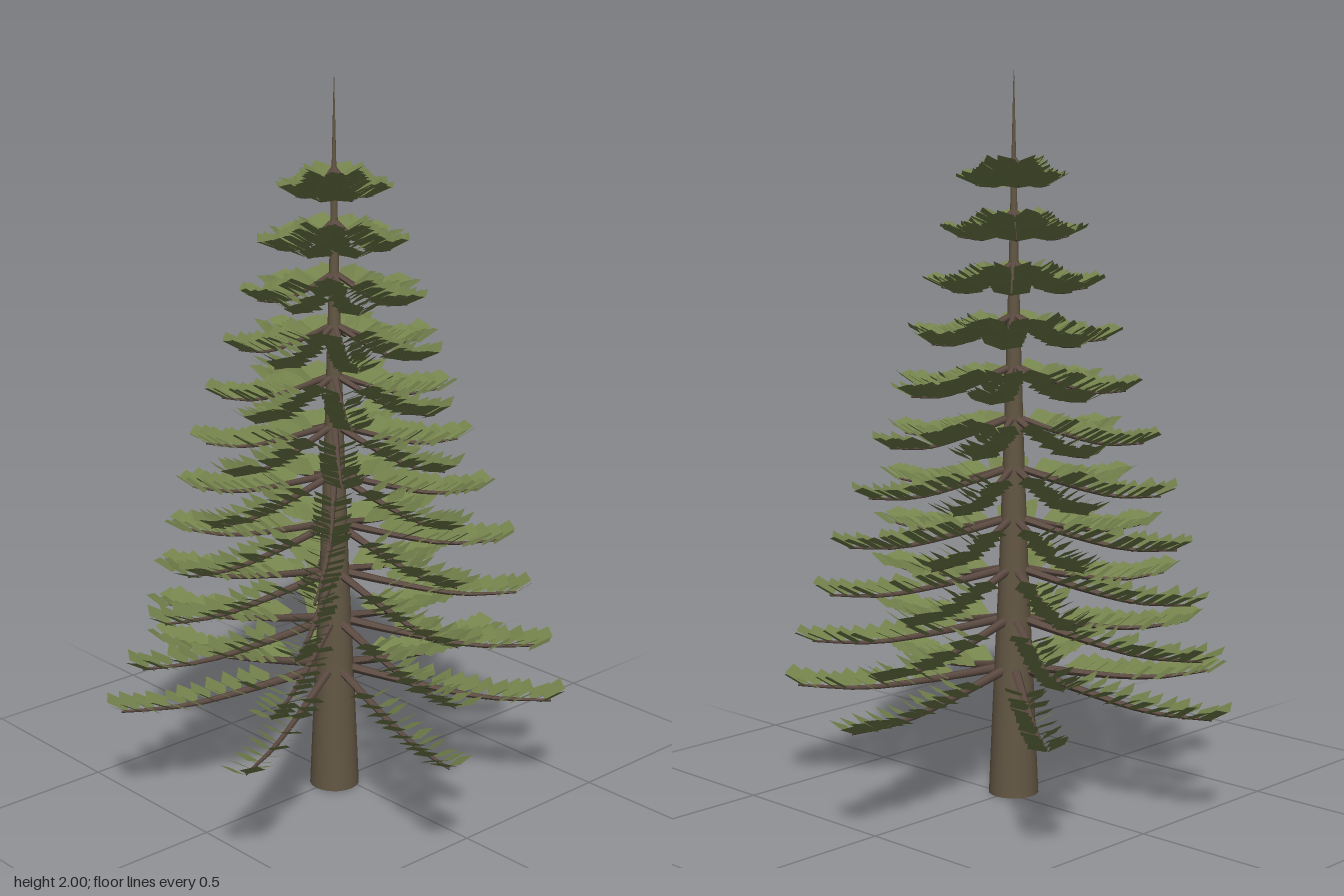
import * as THREE from 'three';
import { mergeGeometries } from 'three/addons/utils/BufferGeometryUtils.js';

const TIERS = 11, ARMS = 7, PAIRS = 11;

// Small seeded generator for natural variation
let seed = 7;
const rand = (a, b) => {
  seed = (seed * 16807) % 2147483647;
  return a + (b - a) * (seed / 2147483647);
};

// Drooping branch centre line along +x, lifting again at the tip
function branchCurve(length) {
  return new THREE.CatmullRomCurve3([
    [0, 0], [0.35, -0.044], [0.7, -0.076], [1, -0.072],
  ].map(([t, y]) => new THREE.Vector3(t * length, y, 0)));
}

// Tapered tube: shrink each ring towards the centre line
function branchGeometry(curve, radius) {
  const segments = 8, sides = 6;
  const geo = new THREE.TubeGeometry(curve, segments, radius, sides, false);
  const pos = geo.attributes.position, p = new THREE.Vector3();
  for (let i = 0; i < pos.count; i++) {
    const t = Math.floor(i / (sides + 1)) / segments;
    const c = curve.getPointAt(t);
    p.fromBufferAttribute(pos, i).sub(c).multiplyScalar(1 - 0.75 * t).add(c);
    pos.setXYZ(i, p.x, p.y, p.z);
  }
  geo.computeVertexNormals();
  return geo;
}

// Two rows of flat leaves in a shallow V, tilted up towards the tip
function leavesGeometry(curve) {
  const leaves = [];
  for (let i = 0; i < PAIRS; i++) {
    for (const side of [-1, 1]) {
      const t = 0.27 + 0.73 * (i + rand(0.6, 1)) / PAIRS;
      const at = curve.getPointAt(t);
      const leaf = new THREE.PlaneGeometry(0.064, 0.049);
      leaf.rotateX(-Math.PI / 2);
      leaf.translate(0.026, 0, side * 0.0265);
      leaf.rotateX(-side * rand(0.15, 0.4));
      leaf.rotateZ(rand(0.38, 0.6));
      leaf.rotateY(-side * rand(0, 0.2));
      leaf.translate(at.x, at.y, 0);
      leaves.push(leaf);
    }
  }
  return mergeGeometries(leaves);
}

export function createModel() {
  const bark = new THREE.MeshStandardMaterial({ color: 0x635744, side: THREE.DoubleSide });
  bark.name = 'bark';
  const twig = new THREE.MeshStandardMaterial({ color: 0x5c4b42 });
  twig.name = 'twig brown';
  const green = new THREE.MeshStandardMaterial({ color: 0x74824c, side: THREE.DoubleSide });
  green.name = 'needle green';

  const tree = new THREE.Group();
  tree.name = 'conifer';
  tree.position.x = -0.03;

  // Trunk, open underneath, tapering into a thin spire
  const profile = [[0.07, 0], [0.055, 0.35], [0.042, 0.62], [0.028, 1.0],
    [0.016, 1.4], [0.006, 1.78], [0.0008, 2]].map(([r, y]) => new THREE.Vector2(r, y));
  const trunk = new THREE.Mesh(new THREE.LatheGeometry(profile, 20), bark);
  trunk.name = 'trunk';
  tree.add(trunk);

  // Whorls of branches, shorter and turned a little further at each level
  for (let k = 0; k < TIERS; k++) {
    const tier = new THREE.Group();
    tier.name = `tier${k + 1}`;
    tier.position.y = 0.365 + k * 0.14;
    const length = 0.61 - k * 0.0505;
    const curve = branchCurve(length);
    const wood = branchGeometry(curve, 0.014 - k * 0.0007);
    for (let a = 0; a < ARMS; a++) {
      const arm = new THREE.Group();
      arm.name = 'arm';
      arm.rotation.y = (a / ARMS) * Math.PI * 2 + k * Math.PI * 2 / 70;
      const branch = new THREE.Mesh(wood, twig);
      branch.name = 'branch';
      const foliage = new THREE.Mesh(leavesGeometry(curve), green);
      foliage.name = 'foliage';
      arm.add(branch, foliage);
      tier.add(arm);
    }
    tree.add(tier);
  }

  const model = new THREE.Group();
  model.name = 'tree';
  model.add(tree);
  return model;
}
